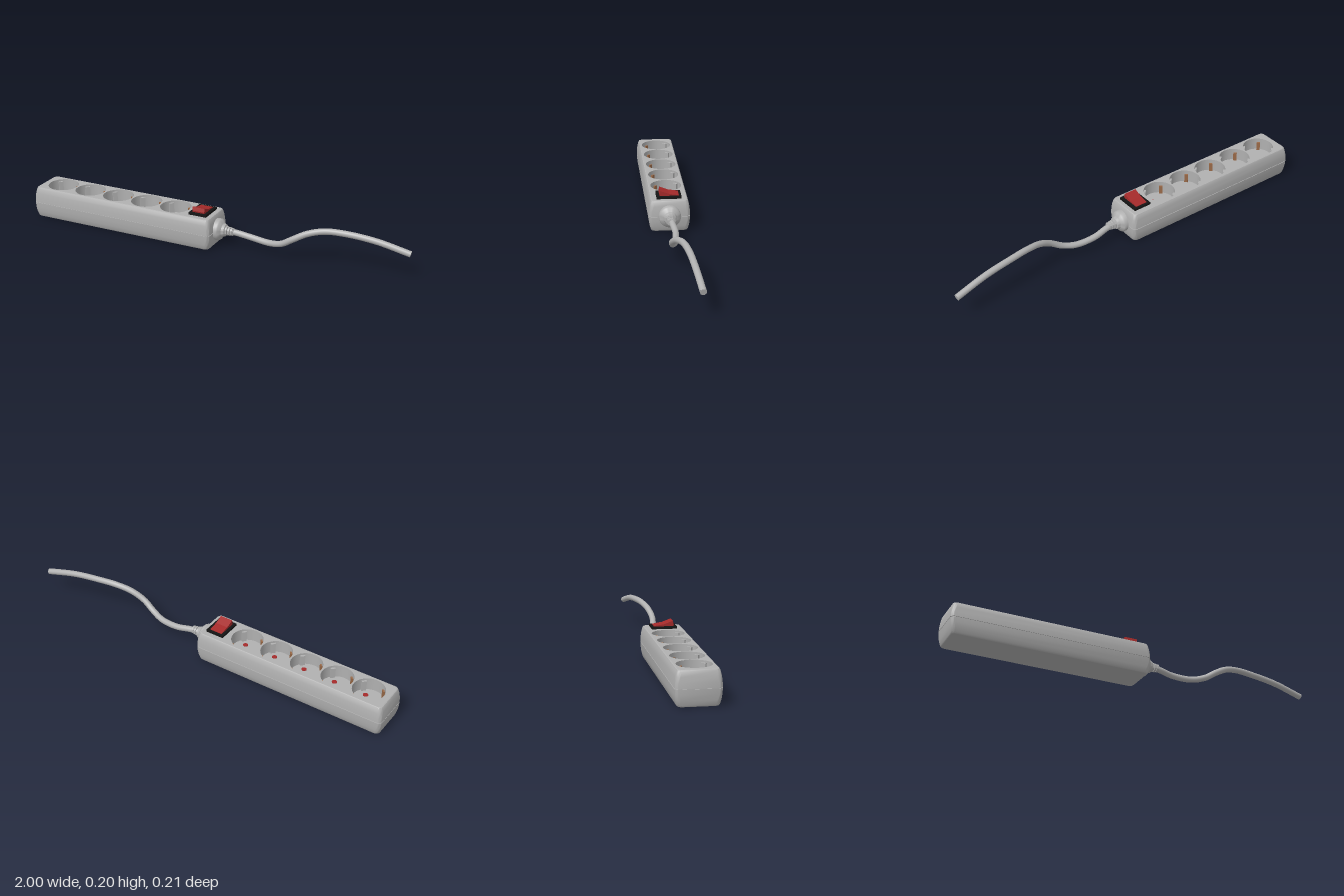
import * as THREE from 'three';
import { toCreasedNormals } from 'three/addons/utils/BufferGeometryUtils.js';

const mat = (name, color, side = THREE.FrontSide) => {
  const m = new THREE.MeshStandardMaterial({ color, side });
  m.name = name;
  return m;
};

export function createModel() {
  const root = new THREE.Group();
  const grey = mat('grey plastic', 0xb0b0b0);
  const greyInside = mat('grey plastic lining', 0xb0b0b0, THREE.DoubleSide);
  const black = mat('black plastic', 0x141414);
  const red = mat('red plastic', 0xa52a2a);
  const brass = mat('earth clip brass', 0x9a6a48);

  const add = (parent, name, geo, material, x = 0, y = 0, z = 0) => {
    const m = new THREE.Mesh(geo, material);
    m.name = name;
    m.position.set(x, y, z);
    parent.add(m);
    return m;
  };

  // Housing: rounded rectangles stacked in height, with a seam groove at mid height
  const CX = -0.49, HX = 0.511, HZ = 0.103, TOP = 0.16;
  const loop = inset => {
    const pts = [], r = 0.02;
    [[1, 1], [-1, 1], [-1, -1], [1, -1]].forEach(([sx, sz], q) => {
      for (let k = 0; k <= 6; k++) {
        const t = (q + k / 6) * Math.PI / 2;
        pts.push([sx * (HX - inset - r) + r * Math.cos(t), sz * (HZ - inset - r) + r * Math.sin(t)]);
      }
    });
    return pts;
  };
  const levels = [[0, 0.015], [0.002, 0.012], [0.008, 0.0095], [0.03, 0.004], [0.055, 0.001], [0.0785, 0],
    [0.0785, 0.003], [0.0815, 0.003], [0.0815, 0], [0.105, 0.001], [0.13, 0.004], [0.152, 0.009],
    [0.158, 0.012], [TOP, 0.016]];
  const pos = [], idx = [], n = loop(0).length;
  levels.forEach(([y, inset]) => loop(inset).forEach(([x, z]) => pos.push(x, y, z)));
  for (let j = 0; j < levels.length - 1; j++) {
    for (let i = 0; i < n; i++) {
      const a = j * n + i, b = j * n + (i + 1) % n;
      idx.push(a, a + n, b, b, a + n, b + n);
    }
  }
  const wall = new THREE.BufferGeometry();
  wall.setAttribute('position', new THREE.Float32BufferAttribute(pos, 3));
  wall.setIndex(idx);
  add(root, 'housingSides', toCreasedNormals(wall, 0.6), grey, CX);

  const capShape = inset => new THREE.Shape(loop(inset).map(p => new THREE.Vector2(...p)));
  add(root, 'housingBase', new THREE.ShapeGeometry(capShape(0.015)).rotateX(Math.PI / 2), grey, CX);

  // Top plate with a round opening for each socket
  const R = 0.079, FLOOR = 0.095;
  const sockets = [-0.88, -0.714, -0.547, -0.381, -0.214];
  const plate = capShape(0.016);
  sockets.forEach(x => {
    const hole = new THREE.Path();
    hole.absarc(x - CX, 0, R, 0, Math.PI * 2, true);
    plate.holes.push(hole);
  });
  add(root, 'housingTop', new THREE.ShapeGeometry(plate, 24).rotateX(-Math.PI / 2), grey, CX, TOP);

  // Sockets, turned 45 degrees: pin holes on one axis, earth clips on the other
  sockets.forEach(x => {
    const s = new THREE.Group();
    s.name = 'socket';
    s.position.set(x, 0, 0);
    s.rotation.y = -Math.PI / 4;
    root.add(s);
    const depth = TOP - FLOOR;
    add(s, 'socketWall', new THREE.CylinderGeometry(R, R, depth, 48, 1, true), greyInside, 0, FLOOR + depth / 2);
    add(s, 'socketFloor', new THREE.CircleGeometry(R, 48).rotateX(-Math.PI / 2), grey, 0, FLOOR);
    for (const side of [-1, 1]) {
      add(s, 'pinHole', new THREE.CylinderGeometry(0.013, 0.013, 0.002, 16), red, side * 0.037, FLOOR + 0.001);
      add(s, 'guideRib', new THREE.BoxGeometry(0.01, 0.055, 0.024), grey, side * 0.073, FLOOR + 0.0275);
      add(s, 'earthClip', new THREE.BoxGeometry(0.018, 0.045, 0.008), brass, 0, FLOOR + 0.0225, side * 0.072);
    }
  });

  // Switch: black frame and a tilted red rocker
  add(root, 'switchFrame', new THREE.BoxGeometry(0.096, 0.012, 0.124), black, -0.062, 0.165, 0);
  const rocker = new THREE.Shape();
  rocker.moveTo(-0.05, 0.165);
  rocker.lineTo(0.045, 0.165);
  rocker.lineTo(0.048, 0.178);
  rocker.lineTo(0.043, 0.197);
  rocker.lineTo(0, 0.181);
  rocker.lineTo(-0.05, 0.173);
  const rockerGeo = new THREE.ExtrudeGeometry(rocker, { depth: 0.066, bevelEnabled: false });
  rockerGeo.translate(0, 0, -0.033).rotateY(-Math.PI / 2);
  add(root, 'switchRocker', rockerGeo, red, -0.063);

  // Cable gland and ribbed strain relief, turned about the x axis
  const turned = pts => toCreasedNormals(
    new THREE.LatheGeometry(pts.map(p => new THREE.Vector2(...p)), 32).rotateZ(-Math.PI / 2), 0.6);
  add(root, 'cableGland', turned([[0.055, 0.01], [0.055, 0.035], [0.051, 0.042], [0.034, 0.053],
    [0.03, 0.066], [0.022, 0.07], [0, 0.07]]), grey, 0, 0.083);
  for (let i = 0; i < 3; i++) {
    const r = 0.024 - i * 0.002;
    add(root, 'strainReliefRing', turned([[0, 0], [r, 0], [r, 0.01], [0.017, 0.011], [0.017, 0.014], [0, 0.014]]),
      grey, 0.068 + i * 0.014, 0.083);
  }

  // Cable with a flat cut end
  const path = new THREE.CatmullRomCurve3([
    [0.06, 0.084, 0], [0.12, 0.08, -0.005], [0.2, 0.067, -0.013], [0.3, 0.062, -0.002], [0.37, 0.079, 0.016],
    [0.43, 0.116, 0.023], [0.5, 0.154, 0.009], [0.58, 0.174, -0.012], [0.68, 0.175, -0.028],
    [0.83, 0.16, -0.042], [0.995, 0.122, -0.057],
  ].map(p => new THREE.Vector3(...p)));
  add(root, 'cable', new THREE.TubeGeometry(path, 90, 0.0155, 16), grey);
  const end = add(root, 'cableEnd', new THREE.CircleGeometry(0.0155, 16), grey);
  end.position.copy(path.getPoint(1));
  end.lookAt(path.getPoint(1).add(path.getTangent(1)));

  return root;
}
